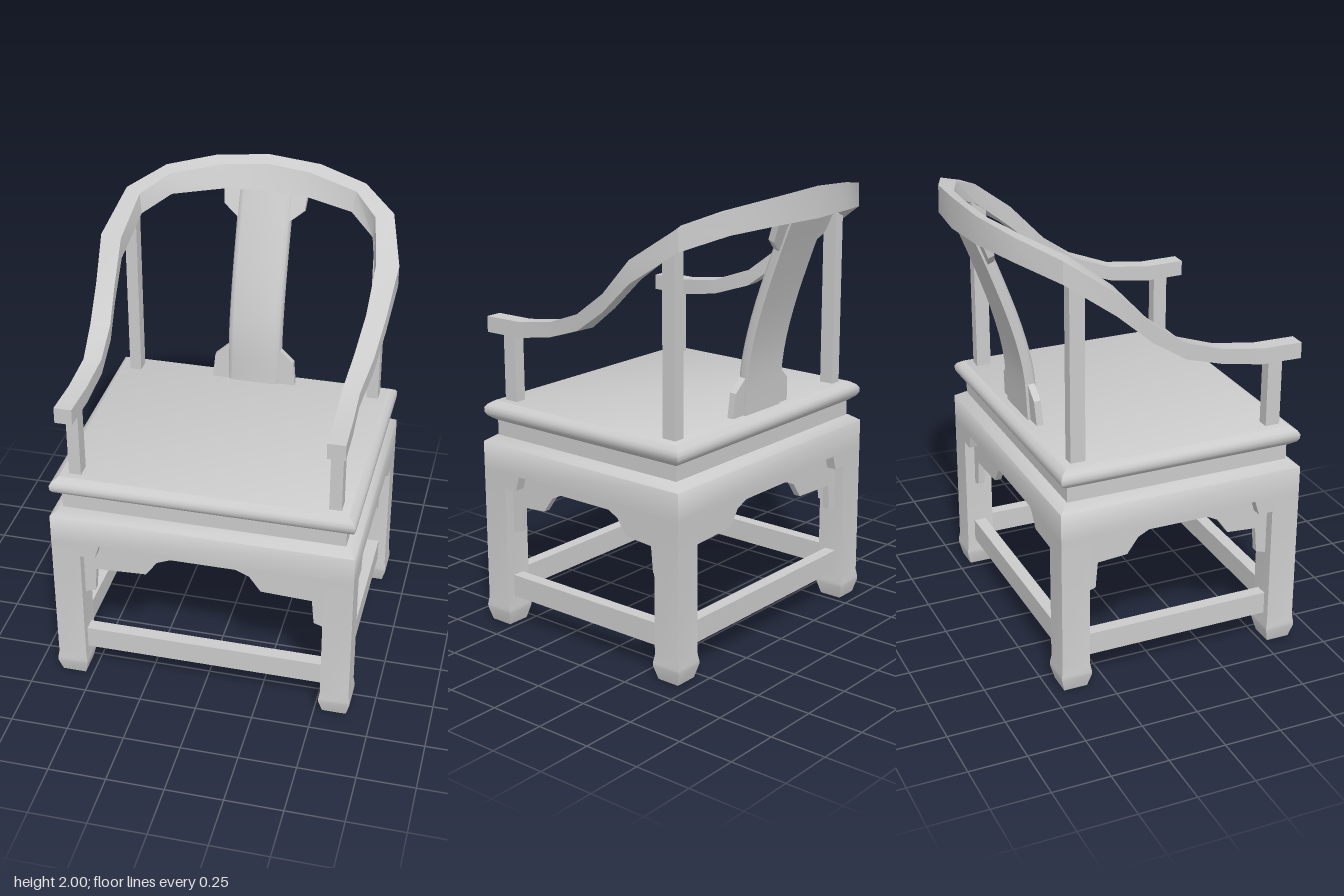
import * as THREE from 'three';
import { toCreasedNormals } from 'three/addons/utils/BufferGeometryUtils.js';

const material = new THREE.MeshStandardMaterial({ color: 0xcccccc });

function add(parent, name, geometry, x = 0, y = 0, z = 0) {
  const mesh = new THREE.Mesh(geometry, material);
  mesh.name = name;
  mesh.position.set(x, y, z);
  parent.add(mesh);
  return mesh;
}

// Skin over matching cross-sections, each listed counterclockwise as seen from the far end
function loft(sections, crease = 0.6) {
  const pos = [];
  const tri = (a, b, c) => pos.push(...a, ...b, ...c);
  const n = sections[0].length;
  for (let s = 0; s < sections.length - 1; s++) {
    const a = sections[s], b = sections[s + 1];
    for (let i = 0; i < n; i++) {
      const j = (i + 1) % n;
      tri(a[i], a[j], b[j]);
      tri(a[i], b[j], b[i]);
    }
  }
  const first = sections[0], last = sections[sections.length - 1];
  for (let i = 1; i < n - 1; i++) {
    tri(first[0], first[i + 1], first[i]);
    tri(last[0], last[i], last[i + 1]);
  }
  const g = new THREE.BufferGeometry();
  g.setAttribute('position', new THREE.Float32BufferAttribute(pos, 3));
  g.computeVertexNormals();
  return toCreasedNormals(g, crease);
}

// Horizontal rectangle of half sizes w, d at height y
const rect = (w, d, y) => [[w, y, d], [w, y, -d], [-w, y, -d], [-w, y, d]];

function plate(points, depth) {
  const shape = new THREE.Shape(points.map(([x, y]) => new THREE.Vector2(x, y)));
  return new THREE.ExtrudeGeometry(shape, { depth, bevelEnabled: false });
}

// Half outline mirrored across x = 0
const mirrored = (half) => [...half, ...half.map(([x, y]) => [-x, y]).reverse()];

const W = 0.65, D = 0.548, CZ = 0.094; // half width, half depth, centre of the base

function buildBase() {
  const base = new THREE.Group();
  base.name = 'base';
  base.position.z = CZ;

  // Seat board with rounded edge, and the recessed waist under it
  const seat = [[0.04, 0.935], [0.014, 0.955], [0.005, 0.97], [0.005, 0.99], [0.014, 1.005], [0.04, 1.022]];
  add(base, 'seat', loft(seat.map(([i, y]) => rect(W - i, D - i, y))));
  add(base, 'waist', new THREE.BoxGeometry(2 * (W - 0.046), 0.08, 2 * (D - 0.046)), 0, 0.9, 0);

  // Solid apron block with a chamfered shoulder
  const apron = [[0, 0.715], [0, 0.838], [0.04, 0.866]];
  add(base, 'apron', loft(apron.map(([i, y]) => rect(W - i, D - i, y)), 1.1));

  // Legs with flared feet
  const leg = [[0.052, 0], [0.068, 0.06], [0.068, 0.075], [0.0625, 0.11], [0.0625, 0.715]];
  for (const sx of [-1, 1]) for (const sz of [-1, 1]) {
    add(base, 'leg', loft(leg.map(([r, y]) => rect(r, r, y)), 0.35),
      sx * (W - 0.0625), 0, sz * (D - 0.0625));
  }

  // Each side: stepped corner brackets, recessed carved spandrel, stretcher
  for (let k = 0; k < 4; k++) {
    const across = k % 2 === 0;
    const h = across ? 0.525 : 0.423, dist = across ? D : W;
    const arch = across ? [0.25, 0.2, 0.14] : [0.235, 0.185, 0.135];
    const side = new THREE.Group();
    side.name = 'baseSide';
    side.rotation.y = k * Math.PI / 2;
    for (const s of [-1, 1]) {
      add(side, 'cornerBracket', plate([
        [h, 0.715], [h, 0.65], [h - 0.065, 0.65], [h - 0.085, 0.715],
      ].map(([x, y]) => [s * x, y]), 0.06), 0, 0, dist - 0.06);
    }
    add(side, 'spandrel', plate(mirrored([
      [h, 0.73], [h, 0.43], [h - 0.045, 0.445], [h - 0.055, 0.56],
      [arch[0], 0.57], [arch[1], 0.64], [arch[2], 0.665],
    ]), 0.03), 0, 0, dist - 0.075);
    add(side, 'stretcher', new THREE.BoxGeometry(2 * h + 0.02, 0.1, 0.055), 0, 0.182, dist - 0.0625);
    base.add(side);
  }
  return base;
}

function buildBack() {
  const back = new THREE.Group();
  back.name = 'backAndArms';

  // Continuous horseshoe rail: outer x, z, inner x, z, top, bottom, how far the inner top edge leans out
  const half = [
    [0.595, 0.65, 0.52, 0.65, 1.385, 1.315, 0],
    [0.59, 0.47, 0.515, 0.47, 1.385, 1.315, 0],
    [0.585, 0.29, 0.51, 0.28, 1.41, 1.345, 0],
    [0.61, 0.11, 0.525, 0.1, 1.475, 1.405, 0],
    [0.63, -0.05, 0.545, -0.04, 1.585, 1.51, 0],
    [0.65, -0.21, 0.555, -0.19, 1.745, 1.65, 0],
    [0.59, -0.41, 0.51, -0.36, 1.885, 1.79, 0.1],
    [0.445, -0.545, 0.4, -0.46, 1.95, 1.85, 0.3],
    [0.23, -0.625, 0.165, -0.535, 1.985, 1.87, 0.4],
    [0, -0.645, 0, -0.545, 2.0, 1.87, 0.45],
  ];
  const section = ([ox, oz, ix, iz, top, bottom, lean]) => [
    [ox, top, oz], [ox, bottom, oz - lean * 0.01], [ix, bottom, iz],
    [ix + (ox - ix) * lean, top - lean * 0.05, iz + (oz - iz) * lean],
  ];
  const right = half.map(section);
  const left = right.slice(0, -1).reverse().map((s) => s.map(([x, y, z]) => [-x, y, z]));
  add(back, 'armRail', loft([...right, ...left], 0.5));

  // Curved splat: softly rounded section following the lean of the back
  const outline = [[0.095, 0.055], [0.112, 0.048], [0.12, 0.035], [0.12, 0],
    [-0.12, 0], [-0.12, 0.035], [-0.112, 0.048], [-0.095, 0.055]];
  const curve = new THREE.SplineCurve([
    [1.02, -0.385], [1.24, -0.4], [1.45, -0.45], [1.69, -0.535], [1.88, -0.612],
  ].map(([y, z]) => new THREE.Vector2(y, z)));
  const splat = curve.getPoints(14).map((p) => outline.map(([x, z]) => [x, p.x, p.y + z]));
  add(back, 'splat', loft(splat, 0.75));

  for (const s of [-1, 1]) {
    // Posts under the rail
    add(back, 'frontPost', new THREE.BoxGeometry(0.052, 0.33, 0.065), s * 0.55, 1.175, 0.54);
    add(back, 'rearPost', new THREE.BoxGeometry(0.052, 0.78, 0.065), s * 0.55, 1.4, -0.348);

    // Small wings beside the foot and head of the splat
    const lower = add(back, 'lowerWing', plate([[0.1, 0], [0.19, 0], [0.18, 0.11], [0.12, 0.165], [0.1, 0.17]]
      .map(([x, y]) => [s * x, y]), 0.03), 0, 1.02, -0.372);
    lower.rotation.x = -0.06;
    const upper = add(back, 'upperWing', plate([[0.1, 0], [0.12, 0.01], [0.18, 0.06], [0.19, 0.16], [0.1, 0.16]]
      .map(([x, y]) => [s * x, y]), 0.03), 0, 1.73, -0.54);
    upper.rotation.x = -0.38;
  }
  return back;
}

export function createModel() {
  const chair = new THREE.Group();
  chair.name = 'armchair';
  chair.add(buildBase(), buildBack());
  return chair;
}
